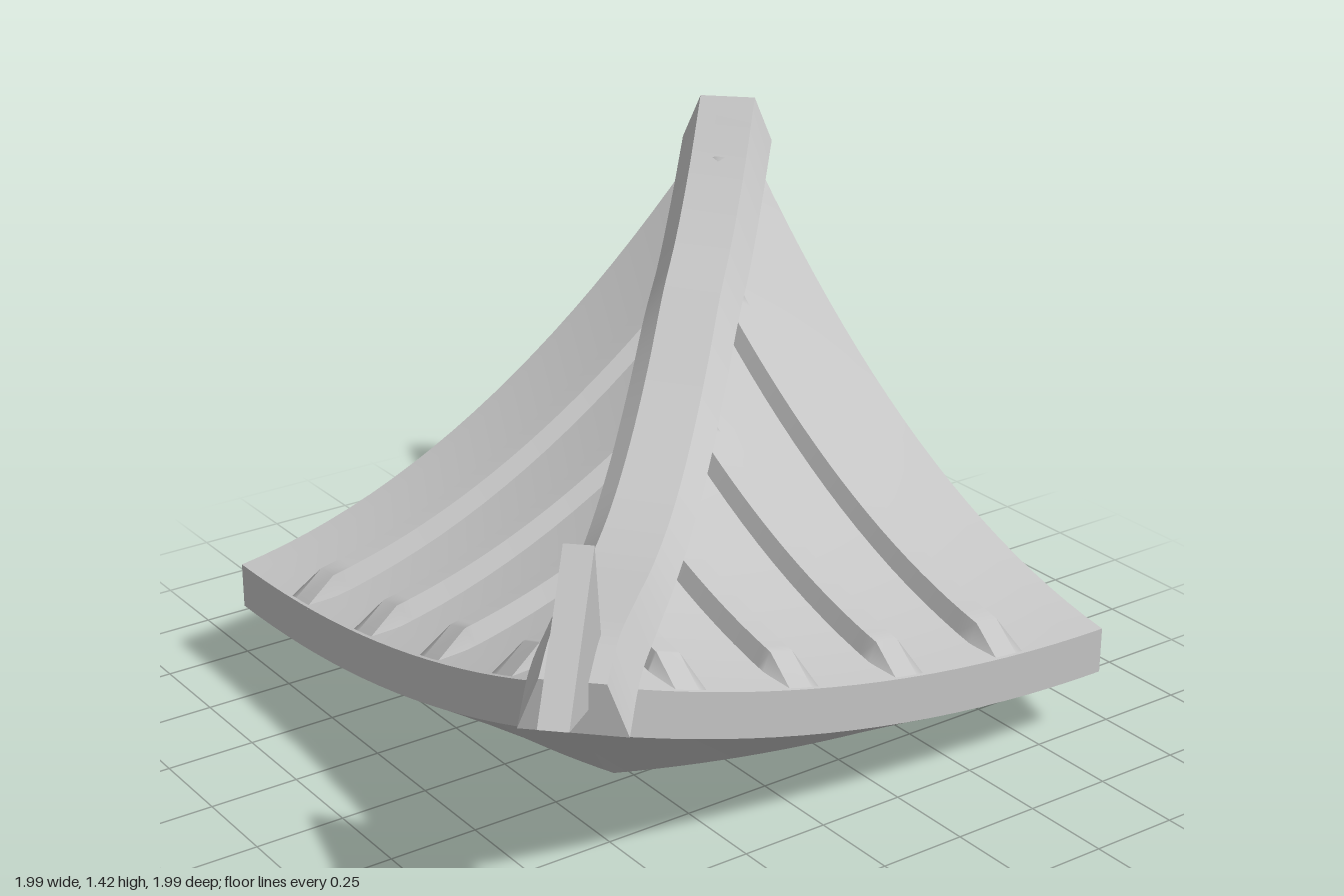
import * as THREE from 'three';
import { mergeGeometries } from 'three/addons/utils/BufferGeometryUtils.js';

const EDGE = 0.92, EAVE = 0.79, R2 = Math.SQRT2;

// Smooth patch: fn(i, j) gives a point; the front faces along (i step) x (j step)
function grid(fn, nu, nv) {
  const pos = [], index = [];
  for (let i = 0; i <= nu; i++) {
    for (let j = 0; j <= nv; j++) pos.push(...fn(i, j));
  }
  for (let i = 0; i < nu; i++) {
    for (let j = 0; j < nv; j++) {
      const a = i * (nv + 1) + j, b = a + nv + 1;
      index.push(a, b, b + 1, a, b + 1, a + 1);
    }
  }
  const g = new THREE.BufferGeometry();
  g.setAttribute('position', new THREE.Float32BufferAttribute(pos, 3));
  g.setIndex(index);
  g.computeVertexNormals();
  return g;
}

// Mirror across the hip line: (x, z) -> (-z, -x)
function mirrored(geometry) {
  const g = geometry.clone();
  g.applyMatrix4(new THREE.Matrix4().set(0, 0, -1, 0, 0, 1, 0, 0, -1, 0, 0, 0, 0, 0, 0, 1));
  const id = g.index;
  for (let k = 0; k < id.count; k += 3) {
    const t = id.getX(k);
    id.setX(k, id.getX(k + 1));
    id.setX(k + 1, t);
  }
  return g;
}

// Eaves sweep up toward the outer corner
const lift = (x) => ((EDGE - x) / 1.72) ** 2;
const topBase = (z) => {
  const d = EAVE - z;
  return Math.min(1.25, 0.33 + 0.14 * d + 0.285 * d * d);
};
const topY = (x, z) => topBase(z) + 0.35 * lift(x);

// Roof section strips as rows of [z, y, lift amount]
const topRows = [];
for (let i = 0; i <= 24; i++) {
  const z = -0.915 + (EAVE + 0.915) * i / 24;
  topRows.push([z, topBase(z), 0.35]);
}
const fasciaRows = [[EAVE, 0.33, 0.35], [EAVE, 0.2, 0.35]];
const soffitRows = [[EAVE, 0.2, 0.35], [0.455, 0.01, 0.26]];
const lipRows = [[0.455, 0.01, 0.26], [0.455, 0.13, 0.08]];
const underRows = [
  [0.455, 0.13], [0.3, 0.18], [0.17, 0.24], [-0.07, 0.35], [-0.25, 0.47], [-0.4, 0.59],
  [-0.52, 0.7], [-0.61, 0.8], [-0.68, 0.93], [-0.73, 1.06], [-0.81, 1.22], [-0.915, 1.24],
].map(([z, y]) => [z, y, 0.08]);
const strips = [topRows, fasciaRows, soffitRows, lipRows, underRows];

function roofHalf() {
  const parts = strips.map((rows) => grid((i, j) => {
    const [z, y, k] = rows[i];
    const x = -z + (EDGE + z) * j / 20;
    return [x, y + k * lift(x), z];
  }, rows.length - 1, 20));
  // flat cut end
  const outline = strips.flatMap((rows) => rows.slice(0, -1)).map(([z, y]) => new THREE.Vector2(-z, y));
  outline.push(new THREE.Vector2(0.915, 1.24));
  const cap = new THREE.ShapeGeometry(new THREE.Shape(outline));
  cap.deleteAttribute('uv');
  cap.rotateY(Math.PI / 2).translate(EDGE, 0, 0);
  parts.push(cap);
  return mergeGeometries(parts);
}

// Raised tile rib running down the slope, tapering into the eave
function rib(cx) {
  const section = [[-0.06, 0], [-0.035, 1], [0.035, 1], [0.06, 0]];
  const z0 = -cx + 0.1, n = 20;
  const stations = [z0, z0 + 0.02];
  for (let i = 1; i <= n; i++) stations.push(z0 + 0.02 + (0.7 - z0 - 0.02) * i / n);
  stations.push(EAVE);
  const parts = [];
  for (let s = 0; s < 3; s++) {
    parts.push(grid((i, j) => {
      const [dx, h] = section[s + j], z = stations[i];
      const full = i > 0 && i < stations.length - 1;
      return [cx + dx, topY(cx + dx, z) + (h && full ? 0.055 : -0.006), z];
    }, stations.length - 1, 1));
  }
  return mergeGeometries(parts);
}

// Curved hip ridge along the diagonal: [x, bottom, top]
function ridge() {
  const rows = [
    [-0.815, 0.565, 0.7], [-0.715, 0.645, 0.745], [-0.55, 0.655, 0.735], [-0.36, 0.655, 0.715],
    [-0.16, 0.68, 0.73], [0.04, 0.745, 0.795], [0.24, 0.85, 0.905], [0.42, 0.97, 1.04],
    [0.58, 1.045, 1.13], [0.75, 1.17, 1.27], [0.895, 1.3, 1.43],
  ];
  const bottom = new THREE.CatmullRomCurve3(rows.map(([x, b]) => new THREE.Vector3(x, b, 0)));
  const top = new THREE.CatmullRomCurve3(rows.map(([x, , t]) => new THREE.Vector3(x, t, 0)));
  const section = [[0.135, 0], [0.082, 1], [-0.082, 1], [-0.135, 0], [0.135, 0]];
  const n = 50;
  const point = (i, k) => {
    const [w, h] = section[k];
    const p = (h ? top : bottom).getPoint(i / n);
    return [p.x + w / R2, p.y, -p.x + w / R2];
  };
  const parts = [0, 1, 2, 3].map((s) => grid((i, j) => point(i, s + j), n, 1));
  // end faces
  const corner = [[3, 2], [0, 1]];
  parts.push(grid((i, j) => point(0, corner[i][j]), 1, 1));
  parts.push(grid((i, j) => point(n, corner[1 - i][j]), 1, 1));
  return mergeGeometries(parts);
}

// Upright wedge ornament at the outer tip of the ridge
function finial() {
  const pts = [[-0.975, 0.69], [-0.815, 0.63], [-0.695, 0.71], [-0.75, 1.01]];
  const shape = new THREE.Shape(pts.map(([x, y]) => new THREE.Vector2(x * R2, y)));
  const g = new THREE.ExtrudeGeometry(shape, { depth: 0.075, bevelEnabled: false });
  return g.translate(0, 0, -0.0375).rotateY(Math.PI / 4);
}

// Rounded beam in the inner valley below the ridge, its low end sunk into the eave
function hipBeam() {
  const pts = underRows.slice(0, -1).map(([z, y, k], i) =>
    new THREE.Vector3(-z, y + k * lift(-z) + (i ? 0.035 : 0.1), z));
  return new THREE.TubeGeometry(new THREE.CatmullRomCurve3(pts), 40, 0.07, 12);
}

export function createModel() {
  const group = new THREE.Group();
  const grey = new THREE.MeshStandardMaterial({ color: 0xc4c4c4 });
  grey.name = 'roof grey';
  const add = (name, geometry) => {
    const mesh = new THREE.Mesh(geometry, grey);
    mesh.name = name;
    group.add(mesh);
  };

  const half = roofHalf();
  add('frontRoofSlope', half);
  add('sideRoofSlope', mirrored(half));

  [-0.46, -0.11, 0.235, 0.58].forEach((x, i) => {
    const g = rib(x);
    add('frontRib' + (i + 1), g);
    add('sideRib' + (i + 1), mirrored(g));
  });

  add('hipRidge', ridge());
  add('ridgeFinial', finial());
  add('hipBeam', hipBeam());
  return group;
}
